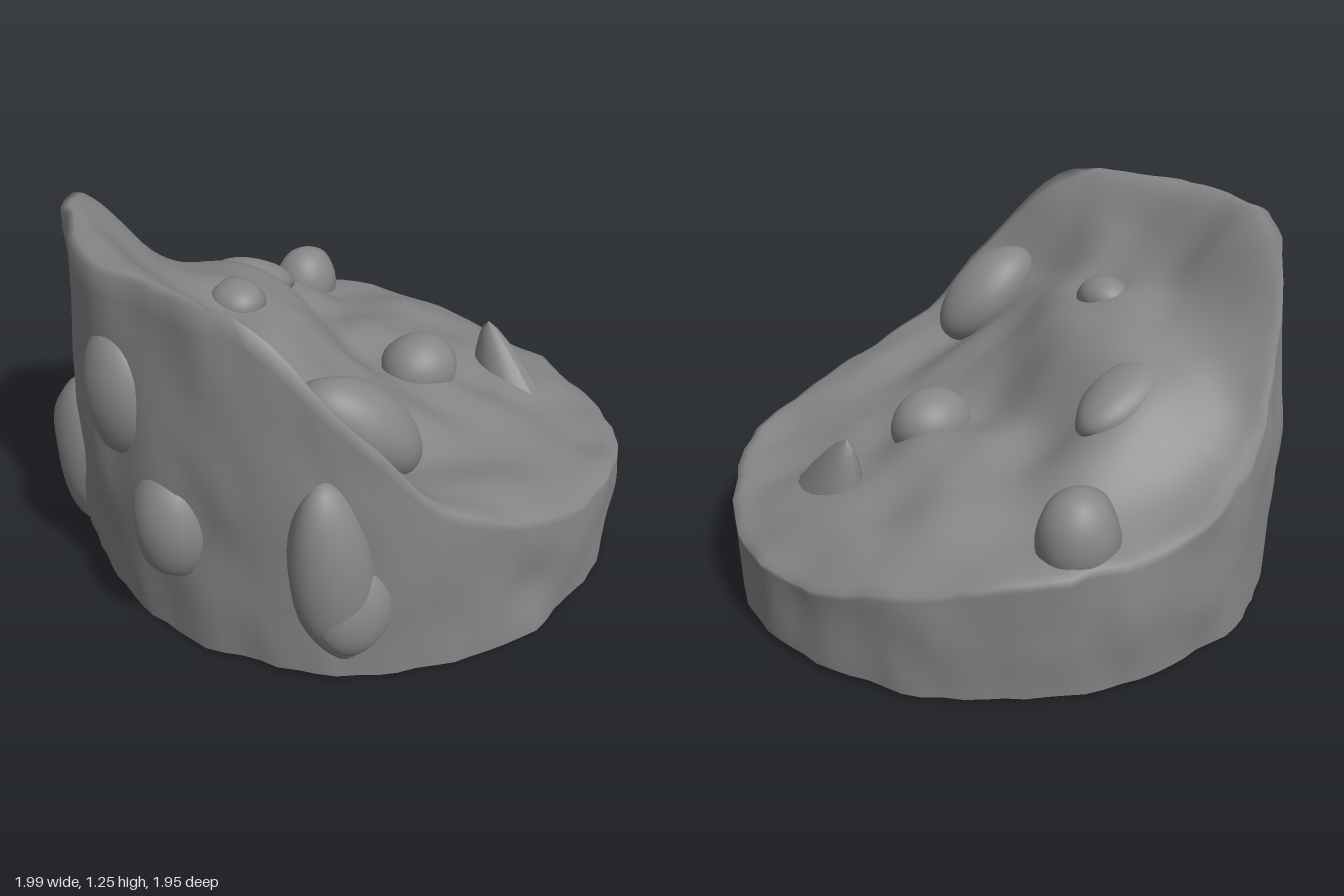
import * as THREE from 'three';

const SEG = 96, CX = 0.02;
const material = new THREE.MeshStandardMaterial({ color: 0x868686 });

// Ground heights: one row per z, one column per x
const COLS = [-0.95, -0.8, -0.65, -0.5, -0.3, -0.1, 0.1, 0.3, 0.5, 0.75, 1];
const ROWS = [-0.95, -0.55, -0.25, 0.1, 0.5, 0.95];
const HEIGHTS = [
  [1.25, 1.22, 1.10, 0.90, 0.64, 0.54, 0.49, 0.46, 0.41, 0.36, 0.31],
  [1.25, 1.25, 1.17, 0.98, 0.84, 0.77, 0.65, 0.54, 0.48, 0.40, 0.31],
  [1.25, 1.25, 1.10, 0.97, 0.91, 0.84, 0.59, 0.56, 0.51, 0.40, 0.29],
  [1.25, 1.25, 1.07, 0.95, 0.89, 0.74, 0.57, 0.55, 0.45, 0.37, 0.28],
  [1.25, 1.25, 1.12, 0.85, 0.68, 0.60, 0.53, 0.47, 0.41, 0.35, 0.28],
  [1.25, 1.22, 1.12, 0.96, 0.65, 0.54, 0.49, 0.43, 0.38, 0.33, 0.28],
];

// Smooth interpolation through values placed at the given stops
function sample(stops, values, t) {
  const n = stops.length;
  let i = 0;
  while (i < n - 2 && t > stops[i + 1]) i++;
  const f = THREE.MathUtils.clamp((t - stops[i]) / (stops[i + 1] - stops[i]), 0, 1);
  const p = values[Math.max(i - 1, 0)], a = values[i], b = values[i + 1], q = values[Math.min(i + 2, n - 1)];
  const ma = (b - p) / 2, mb = (q - a) / 2, f2 = f * f, f3 = f2 * f;
  return (2 * f3 - 3 * f2 + 1) * a + (f3 - 2 * f2 + f) * ma + (3 * f2 - 2 * f3) * b + (f3 - f2) * mb;
}

// Seeded value noise between -1 and 1
function hash(x, y, z) {
  const s = Math.sin(x * 127.1 + y * 311.7 + z * 74.7) * 43758.5453;
  return 2 * (s - Math.floor(s)) - 1;
}
function noise(x, y, z) {
  const cell = [x, y, z].map(Math.floor);
  const f = [x, y, z].map((v, i) => THREE.MathUtils.smoothstep(v - cell[i], 0, 1));
  let sum = 0;
  for (let k = 0; k < 8; k++) {
    const d = [k & 1, (k >> 1) & 1, k >> 2];
    const weight = d.reduce((w, on, i) => w * (on ? f[i] : 1 - f[i]), 1);
    sum += weight * hash(cell[0] + d[0], cell[1] + d[1], cell[2] + d[2]);
  }
  return sum;
}

const ground = (x, z) =>
  Math.min(1.25, sample(ROWS, HEIGHTS.map(row => sample(COLS, row, x)), z) + 0.028 * noise(x * 5, 0, z * 5));

// Outer radius at an angle and height
function radius(a, y) {
  const c = Math.cos(a), s = Math.sin(a);
  const lean = y < 0.3 ? -0.012 * (1 - y / 0.3) : -0.06 * Math.max(0, y - 0.6);
  return 0.962 + lean + 0.018 * noise(c * 4, y * 4, s * 4) + 0.014 * noise(c * 11, y * 5, s * 11);
}

// Surface through closed rings of points
function loft(rings) {
  const pos = rings.flat(2), index = [];
  for (let i = 0; i < rings.length - 1; i++) for (let j = 0; j < SEG; j++) {
    const k = (j + 1) % SEG, a = i * SEG, b = a + SEG;
    index.push(a + j, a + k, b + j, a + k, b + k, b + j);
  }
  const g = new THREE.BufferGeometry();
  g.setAttribute('position', new THREE.Float32BufferAttribute(pos, 3));
  g.setIndex(index);
  g.computeVertexNormals();
  return g;
}

const ring = fn => Array.from({ length: SEG }, (_, j) => fn(j / SEG * Math.PI * 2));
const at = (a, r, y) => [CX + r * Math.cos(a), y, r * Math.sin(a)];

function rimHeight(a) {
  const p = at(a, 0.95, 0);
  return ground(p[0], p[2]);
}

// Rounded stone: lumpy ellipsoid
function stone(name, position, size, rotation = [0, 0, 0]) {
  const g = new THREE.IcosahedronGeometry(1, 6);
  const p = g.attributes.position, n = g.attributes.normal, v = new THREE.Vector3();
  for (let i = 0; i < p.count; i++) {
    v.fromBufferAttribute(p, i);
    n.setXYZ(i, v.x, v.y, v.z);
    v.multiplyScalar(1 + 0.08 * noise(v.x * 1.6 + position[0] * 9, v.y * 1.6 + 5, v.z * 1.6 + position[2] * 9));
    p.setXYZ(i, v.x, v.y, v.z);
  }
  const mesh = new THREE.Mesh(g, material);
  mesh.name = name;
  mesh.position.set(...position);
  mesh.scale.set(...size);
  mesh.rotation.set(...rotation);
  return mesh;
}

// Pointed rock: a bulging body whose tip leans backwards
function pointedRock() {
  const g = new THREE.CylinderGeometry(1, 1, 1, 14, 10, true);
  const p = g.attributes.position;
  for (let i = 0; i < p.count; i++) {
    const t = p.getY(i) + 0.5, w = Math.pow(1 - t, 0.7);
    p.setXYZ(i, 0.64 - 0.015 * t + p.getX(i) * 0.125 * w, 0.3 + 0.29 * t, 0.2 - 0.14 * t + p.getZ(i) * 0.19 * w);
  }
  g.computeVertexNormals();
  const mesh = new THREE.Mesh(g, material);
  mesh.name = 'pointedRock';
  return mesh;
}

export function createModel() {
  const group = new THREE.Group();
  group.name = 'rockBase';
  const add = (name, geometry) => {
    const mesh = new THREE.Mesh(geometry, material);
    mesh.name = name;
    group.add(mesh);
  };

  // Sloping ground out to the rim, then the rough outer wall down to the foot
  const N = 36, M = 16, foot = a => 0.018 + 0.008 * Math.sin(3 * a + 1.5);
  const slope = Array.from({ length: N }, (_, i) => ring(a => {
    const p = at(a, radius(a, rimHeight(a)) * Math.max(i / N, 0.001), 0);
    p[1] = ground(p[0], p[2]);
    return p;
  }));
  const wall = Array.from({ length: M + 1 }, (_, i) => ring(a => {
    const y = THREE.MathUtils.lerp(rimHeight(a) - 0.01, foot(a), i / M);
    return at(a, radius(a, y), y);
  }));
  add('slopeAndWall', loft([...slope, ...wall]));

  // Flat underside
  add('underside', loft([1, 0.6, 0.001].map(s => ring(a =>
    at(a, radius(a, foot(a)) * s, s === 1 ? foot(a) : 0.004)))));

  // Stones lying on the slope
  group.add(
    stone('frontSlopeBoulder', [-0.35, 0.77, 0.58], [0.23, 0.13, 0.14], [-0.3, 0, -0.8]),
    stone('smallKnob', [-0.38, 0.92, -0.08], [0.09, 0.07, 0.1]),
    stone('backLump', [-0.08, 0.74, -0.5], [0.2, 0.08, 0.11], [0, 0.15, -0.35]),
    stone('middleBoulder', [0.26, 0.53, 0.1], [0.15, 0.13, 0.13]),
    stone('backRimBoulder', [0.34, 0.49, -0.77], [0.13, 0.16, 0.12]),
    pointedRock(),
  );

  // Stones and buttresses bulging out of the outer wall
  group.add(
    stone('wallButtressBack', [-0.84, 0.36, -0.34], [0.12, 0.29, 0.17]),
    stone('wallStoneHigh', [-0.88, 0.84, 0.08], [0.115, 0.22, 0.16]),
    stone('wallStoneLow', [-0.85, 0.46, 0.29], [0.12, 0.2, 0.14]),
    stone('wallButtressFront', [-0.56, 0.41, 0.74], [0.14, 0.34, 0.12], [0, 0, 0.12]),
    stone('wallStoneFrontRound', [-0.51, 0.29, 0.78], [0.14, 0.17, 0.1]),
  );
  return group;
}
